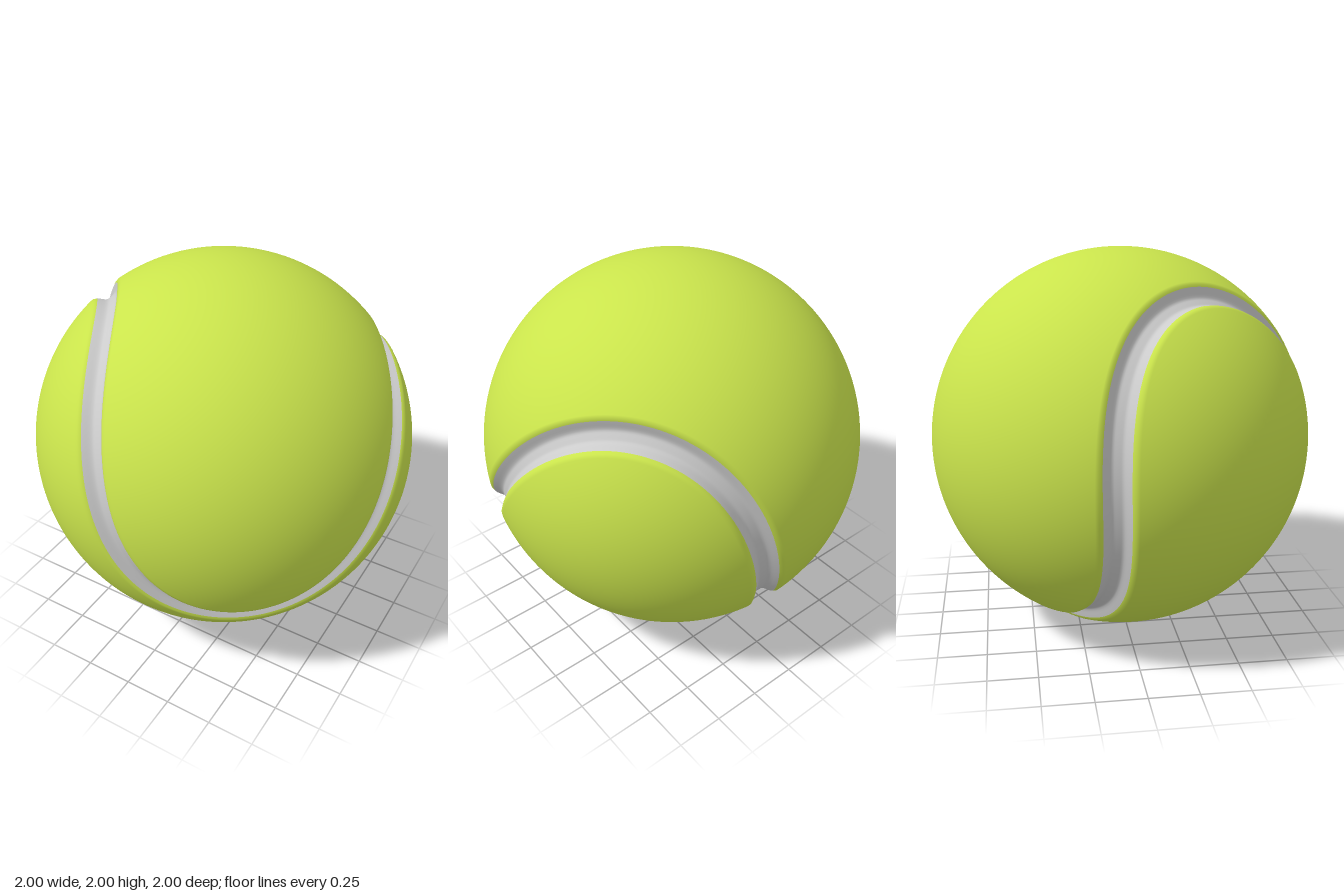
import * as THREE from 'three';

const A = 0.857, B = 1 - A, C = 2 * Math.sqrt(A * B); // seam shape
const DEPTH = 0.055, SEAM_HALF = 0.066, STEPS = 320;

// Closed seam curve on the unit sphere
function seamPoint(s) {
  return new THREE.Vector3(
    A * Math.sin(s) + B * Math.sin(3 * s),
    -C * Math.cos(2 * s),
    A * Math.cos(s) - B * Math.cos(3 * s)
  );
}

// Surface radius at distance d from the seam: a groove with rounded lips
function radiusAt(d) {
  return 1 - DEPTH * (1 - THREE.MathUtils.smoothstep(d, 0.02, 0.088));
}

// Grid surface that closes on itself in the first direction
function loopSurface(nu, nv, point) {
  const pos = [], index = [];
  for (let i = 0; i < nu; i++) {
    for (let j = 0; j <= nv; j++) pos.push(...point((i / nu) * Math.PI * 2, j / nv));
  }
  const id = (i, j) => (i % nu) * (nv + 1) + j;
  for (let i = 0; i < nu; i++) {
    for (let j = 0; j < nv; j++) {
      index.push(id(i, j), id(i + 1, j), id(i, j + 1));
      index.push(id(i + 1, j), id(i + 1, j + 1), id(i, j + 1));
    }
  }
  const g = new THREE.BufferGeometry();
  g.setAttribute('position', new THREE.Float32BufferAttribute(pos, 3));
  g.setIndex(index);
  g.computeVertexNormals();
  return g;
}

// One felt panel: rings running from the seam inward to a spine arc
function panelGeometry() {
  const samples = Array.from({ length: STEPS * 2 }, (_, i) => seamPoint((i / STEPS) * Math.PI));
  const g = loopSurface(STEPS, 32, (s, v) => {
    const edge = seamPoint(s);
    const phi = Math.atan2(edge.z, edge.y) * 0.65;
    const spine = new THREE.Vector3(0, Math.cos(phi), Math.sin(phi));
    const w = edge.angleTo(spine), k = v * v;
    const p = edge.multiplyScalar(Math.sin((1 - k) * w))
      .addScaledVector(spine, Math.sin(k * w)).normalize();
    let d2 = Infinity;
    for (const q of samples) d2 = Math.min(d2, p.distanceToSquared(q));
    return p.multiplyScalar(radiusAt(Math.sqrt(d2)));
  });
  // Exact sphere normals away from the groove
  const p = new THREE.Vector3();
  for (let i = 0; i < g.attributes.position.count; i++) {
    p.fromBufferAttribute(g.attributes.position, i);
    if (p.length() > 0.99999) {
      p.normalize();
      g.attributes.normal.setXYZ(i, p.x, p.y, p.z);
    }
  }
  return g;
}

// Seam band lining the groove
function seamGeometry() {
  return loopSurface(STEPS * 2, 16, (s, v) => {
    const n = seamPoint(s);
    const tangent = seamPoint(s + 0.001).sub(seamPoint(s - 0.001)).normalize();
    const side = n.clone().cross(tangent).normalize();
    const d = (v * 2 - 1) * SEAM_HALF;
    return n.multiplyScalar(Math.cos(d)).addScaledVector(side, Math.sin(d))
      .multiplyScalar(radiusAt(Math.abs(d)) + 0.003);
  });
}

export function createModel() {
  const model = new THREE.Group();
  model.name = 'tennisBall';

  const felt = new THREE.MeshStandardMaterial({ color: 0xcae44c });
  const rubber = new THREE.MeshStandardMaterial({ color: 0xcccccc });

  const ball = new THREE.Group();
  ball.name = 'ball';

  // Two identical interlocking panels
  const panel = panelGeometry();
  const upper = new THREE.Mesh(panel, felt);
  upper.name = 'upperFeltPanel';
  const lower = new THREE.Mesh(panel, felt);
  lower.name = 'lowerFeltPanel';
  lower.quaternion.setFromAxisAngle(new THREE.Vector3(1, 0, 1).normalize(), Math.PI);

  const seam = new THREE.Mesh(seamGeometry(), rubber);
  seam.name = 'seam';
  ball.add(upper, lower, seam);

  // Resting attitude of the ball
  const up = new THREE.Vector3(-0.006, 0.952, -0.307).normalize();
  const along = new THREE.Vector3(0.797, -0.158, -0.565).cross(up).normalize();
  const across = up.clone().cross(along);
  ball.quaternion.setFromRotationMatrix(new THREE.Matrix4().makeBasis(across, up, along));
  ball.position.y = 1;

  model.add(ball);
  return model;
}
